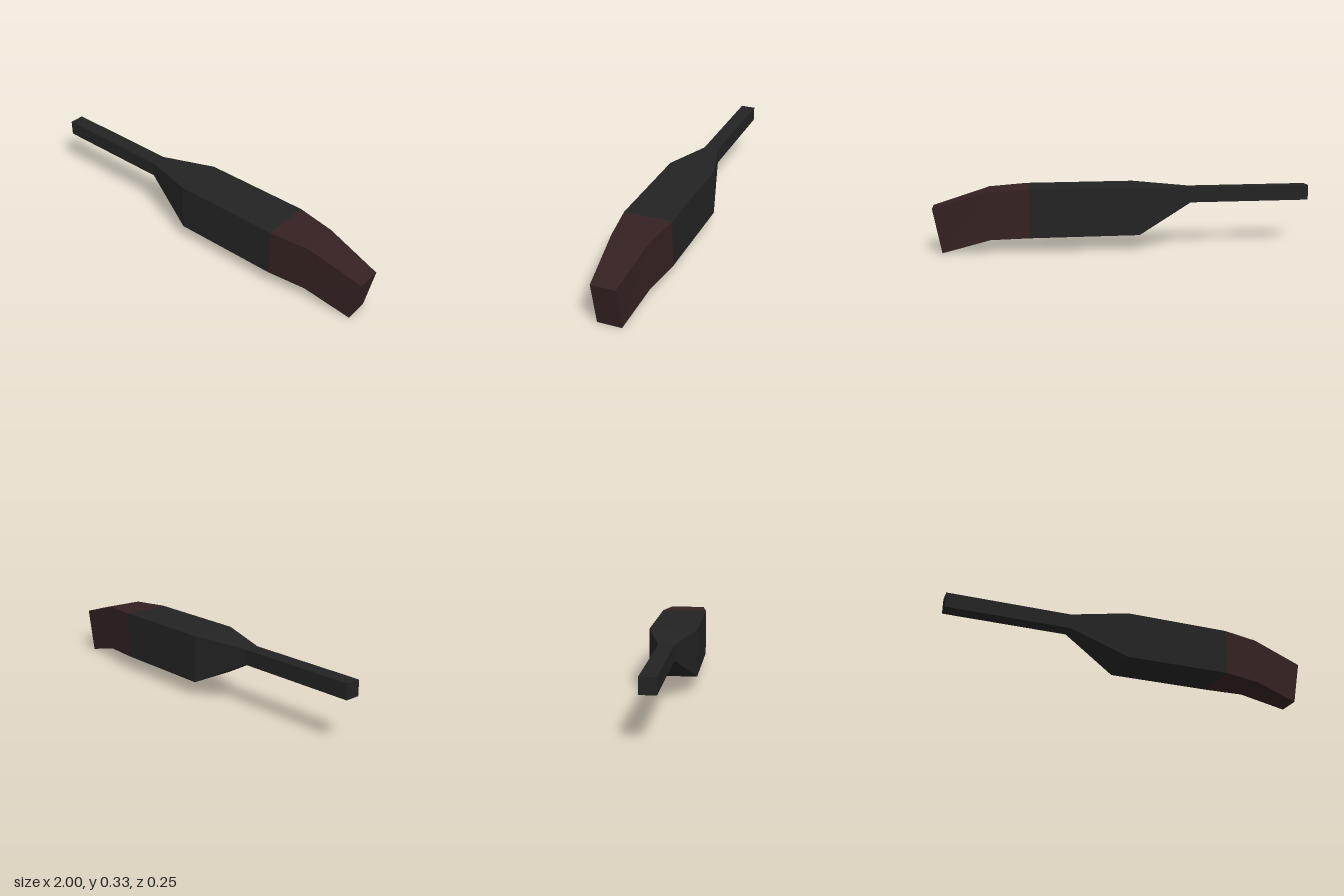
import * as THREE from 'three';

// Lofts rectangular sections [topX, topY, bottomX, bottomY, halfDepth] along x.
function loft(sections, capStart, capEnd) {
  const rings = sections.map(([tx, ty, bx, by, h]) => [
    [tx, ty, h], [tx, ty, -h], [bx, by, -h], [bx, by, h],
  ]);
  const pos = [];
  const quad = (a, b, c, d) => pos.push(...a, ...b, ...c, ...a, ...c, ...d);
  for (let s = 0; s < rings.length - 1; s++) {
    const a = rings[s], b = rings[s + 1];
    for (let i = 0; i < 4; i++) {
      const j = (i + 1) % 4;
      quad(a[i], b[i], b[j], a[j]);
    }
  }
  if (capStart) quad(...rings[0]);
  if (capEnd) quad(...[...rings[rings.length - 1]].reverse());
  const geometry = new THREE.BufferGeometry();
  geometry.setAttribute('position', new THREE.Float32BufferAttribute(pos, 3));
  geometry.computeVertexNormals();
  return geometry;
}

export function createModel() {
  const group = new THREE.Group();
  const charcoal = new THREE.MeshStandardMaterial({ name: 'charcoal', color: 0x232323, flatShading: true });
  const darkBrown = new THREE.MeshStandardMaterial({ name: 'darkBrown', color: 0x342121, flatShading: true });

  const add = (name, geometry, material) => {
    const mesh = new THREE.Mesh(geometry, material);
    mesh.name = name;
    group.add(mesh);
  };

  const neck = [-0.35, 0.31, -0.35, 0.23, 0.04];
  const joint = [0.51, 0.33, 0.51, 0.078, 0.126];

  // Thin square shaft
  add('shaft', loft([[-1, 0.31, -1, 0.23, 0.04], neck], true, false), charcoal);
  // Flared shoulder and straight body
  add('body', loft([neck, [-0.06, 0.33, -0.06, 0.078, 0.126], joint], false, false), charcoal);
  // Drooping, tapered end with a slanted face
  add('taperedEnd', loft([joint, [0.71, 0.32, 0.71, 0.068, 0.096], [1, 0.232, 0.955, 0, 0.063]], false, true), darkBrown);

  return group;
}
